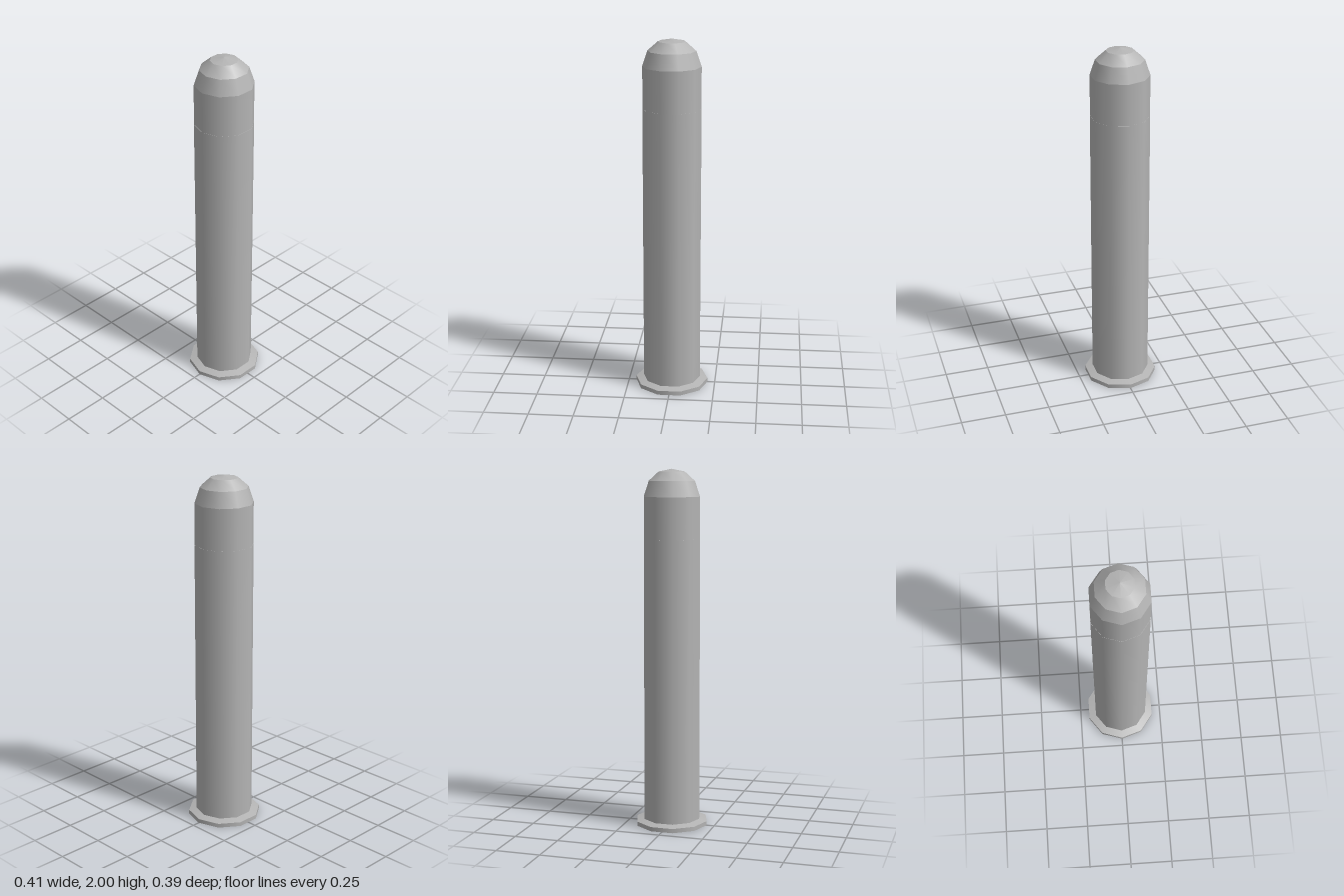
import * as THREE from 'three';

const SIDES = 10;

export function createModel() {
  const group = new THREE.Group();
  const grey = new THREE.MeshStandardMaterial({ color: 0xb4b4b4, side: THREE.DoubleSide });
  grey.name = 'plain grey';

  // Ten-sided band: smooth around the axis, sharp where bands meet
  const band = (name, r0, y0, r1, y1) => {
    const profile = [new THREE.Vector2(r0, y0), new THREE.Vector2(r1, y1)];
    const mesh = new THREE.Mesh(new THREE.LatheGeometry(profile, SIDES, Math.PI / 2), grey);
    mesh.name = name;
    group.add(mesh);
  };

  // Open flange at the foot
  band('flangeCollar', 0.163, 0.035, 0.158, 0);
  band('flangeUnderside', 0.158, 0, 0.207, 0);
  band('flangeRim', 0.207, 0, 0.207, 0.024);
  band('flangeTop', 0.207, 0.024, 0.163, 0.035);

  // Hollow tube, with a very fine step below the nose
  band('tube', 0.163, 0.035, 0.162, 1.62);
  band('tubeLip', 0.162, 1.62, 0.161, 1.62);
  band('upperTube', 0.161, 1.62, 0.161, 1.85);

  // Faceted rounded nose
  const nose = [[0.161, 1.85], [0.132, 1.935], [0.075, 1.985], [0, 2]];
  for (let i = 0; i < nose.length - 1; i++) {
    band('noseBand' + (i + 1), ...nose[i], ...nose[i + 1]);
  }
  return group;
}
